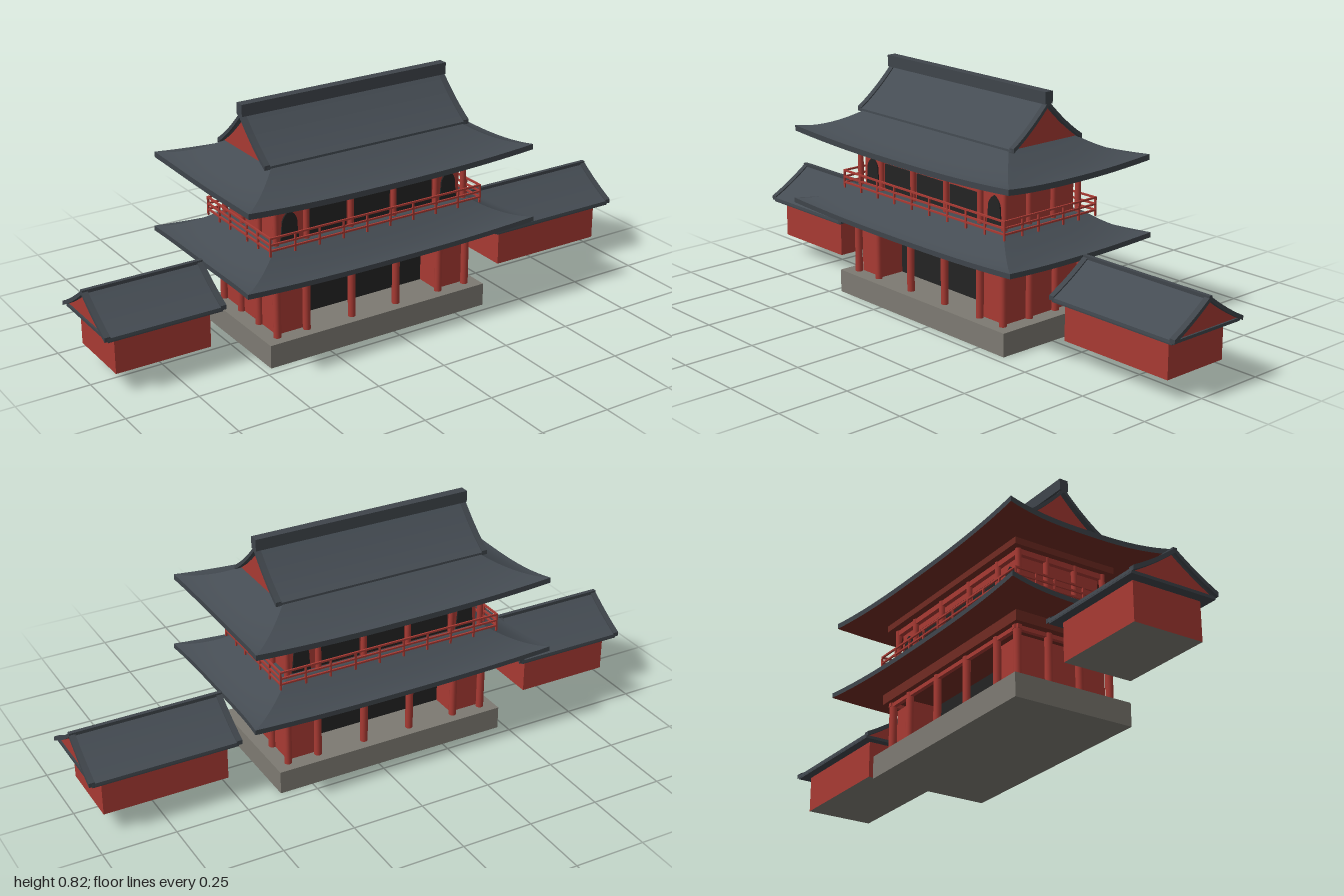
import * as THREE from 'three';

const mat = (name, color, side = THREE.FrontSide) => {
  const m = new THREE.MeshStandardMaterial({ color, side });
  m.name = name;
  return m;
};

export function createModel() {
  const root = new THREE.Group();
  root.name = 'templeGate';
  const red = mat('vermilion wood', 0xa83a33);
  const darkRed = mat('shaded timber', 0x702b22);
  const slate = mat('roof tile', 0x454c53);
  const trim = mat('roof trim', 0x3f454b);
  const stone = mat('stone', 0x7d7a72);
  const black = mat('dark opening', 0x232323);

  const hall = new THREE.Group();
  hall.name = 'hall';
  hall.position.x = -0.053;
  root.add(hall);

  const add = (parent, name, geo, material) => {
    const m = new THREE.Mesh(geo, material);
    m.name = name;
    parent.add(m);
    return m;
  };
  // Box given by its min and max on each axis
  const box = (parent, name, material, x0, x1, y0, y1, z0, z1) => {
    const m = add(parent, name, new THREE.BoxGeometry(x1 - x0, y1 - y0, z1 - z0), material);
    m.position.set((x0 + x1) / 2, (y0 + y1) / 2, (z0 + z1) / 2);
    return m;
  };
  // Box centred on the hall axis, by half sizes
  const slab = (name, material, hx, hz, y0, y1) => box(hall, name, material, -hx, hx, y0, y1, -hz, hz);
  const column = (name, x, z, y0, y1, r) => {
    const m = add(hall, name, new THREE.CylinderGeometry(r, r, y1 - y0, 14), red);
    m.position.set(x, (y0 + y1) / 2, z);
  };

  // Surface from a rule f(u, v) -> [x, y, z]
  const sheet = (f, nu, nv) => {
    const pos = [], idx = [];
    for (let j = 0; j <= nv; j++) for (let i = 0; i <= nu; i++) pos.push(...f(i / nu, j / nv));
    for (let j = 0; j < nv; j++) for (let i = 0; i < nu; i++) {
      const a = j * (nu + 1) + i, b = a + 1, c = a + nu + 1, d = c + 1;
      idx.push(a, b, d, a, d, c);
    }
    const g = new THREE.BufferGeometry();
    g.setAttribute('position', new THREE.Float32BufferAttribute(pos, 3));
    g.setIndex(idx);
    g.computeVertexNormals();
    return g;
  };

  // Concave hipped roof with flared, lifted corners; fascia and soffit below
  const hipRoof = (name, o) => {
    const g = new THREE.Group();
    g.name = name;
    hall.add(g);
    for (let k = 0; k < 4; k++) {
      const a = k % 2, b = 1 - a;
      const sgn = k < 2 ? 1 : -1;
      // a: axis along the eave (0 = x, 1 = z), b: axis pointing outward
      const place = (along, y, out) => (a === 0 ? [sgn * along, y, sgn * out] : [sgn * out, y, -sgn * along]);
      const surf = (u, t, drop = 0) => {
        const s = 2 * u - 1, f = (1 - t) ** 2;
        const h = (i) => o.eave[i] + (o.top[i] - o.eave[i]) * t;
        const y = o.y0 + (o.y1 - o.y0) * t ** 1.4 + o.lift * f * Math.abs(s) ** 2.5 - drop;
        return place(s * (h(a) + o.flare[a] * f), y, h(b) + o.flare[b] * f * Math.abs(s) ** 3);
      };
      add(g, 'roofSlope', sheet((u, v) => surf(u, v), 24, 10), slate);
      add(g, 'eaveFascia', sheet((u, v) => surf(u, 0, o.thick * (1 - v)), 24, 1), trim);
      add(g, 'soffit', sheet((u, v) => {
        const e = surf(u, 0, o.thick), i = place((2 * u - 1) * o.inner[a], o.y0 - o.thick, o.inner[b]);
        return e.map((c, n) => i[n] + (c - i[n]) * v);
      }, 24, 2), darkRed);
    }
  };

  // Slightly sagging gable profile, from z = -h to h
  const profile = (h, y0, y1, sag) => Array.from({ length: 17 }, (_, i) => {
    const s = i / 8 - 1, t = 1 - Math.abs(s);
    return new THREE.Vector2(s * h, y0 + (y1 - y0) * t - sag * 4 * t * (1 - t));
  });
  const along = (shape, x0, x1) =>
    new THREE.ExtrudeGeometry(shape, { depth: x1 - x0, bevelEnabled: false }).rotateY(Math.PI / 2).translate(x0, 0, 0);
  // Red gable body, tiled slopes and raised end boards
  const gableRoof = (parent, x0, x1, h, y0, y1, sag, thick, inset) => {
    const line = profile(h, y0, y1, sag);
    const band = (up, down) => new THREE.Shape([
      ...line.map((p) => new THREE.Vector2(p.x, p.y - down)),
      ...line.slice().reverse().map((p) => new THREE.Vector2(p.x, p.y + up)),
    ]);
    add(parent, 'gable', along(new THREE.Shape(line.map((p) => new THREE.Vector2(p.x * 0.97, p.y - 0.004))), x0 + inset, x1 - inset), red);
    add(parent, 'gableSlopes', along(band(0, thick), x0 + 0.01, x1 - 0.01), slate);
    for (const x of [x0, x1 - 0.02]) add(parent, 'bargeBoard', along(band(0.005, thick), x, x + 0.02), trim);
  };

  // Plinth and ground floor
  slab('plinth', stone, 0.42, 0.217, 0, 0.08);
  slab('doorCore', black, 0.26, 0.07, 0.08, 0.238);
  for (const s of [-1, 1]) {
    box(hall, 'endRoom', red, s > 0 ? 0.26 : -0.365, s > 0 ? 0.365 : -0.26, 0.08, 0.238, -0.16, 0.16);
    for (const x of [-0.37, -0.26, -0.087, 0.087, 0.26, 0.37]) column('lowerColumn', x, s * 0.174, 0.08, 0.267, 0.013);
    for (const z of [-0.058, 0.058]) column('lowerSideColumn', s * 0.37, z, 0.08, 0.267, 0.013);
    box(hall, 'lowerBeam', red, -0.385, 0.385, 0.249, 0.263, s * 0.174 - 0.007, s * 0.174 + 0.007);
    box(hall, 'lowerSideBeam', red, s * 0.37 - 0.007, s * 0.37 + 0.007, 0.249, 0.263, -0.188, 0.188);
  }
  slab('lowerBracketBand', darkRed, 0.4, 0.198, 0.264, 0.302);
  hipRoof('lowerRoof', { eave: [0.53, 0.305], top: [0.375, 0.178], flare: [0.02, 0.008], inner: [0.39, 0.19], y0: 0.316, y1: 0.395, lift: 0.018, thick: 0.017 });
  slab('lowerRoofCap', slate, 0.375, 0.178, 0.385, 0.395);

  // Upper floor
  slab('upperWalls', red, 0.352, 0.152, 0.39, 0.54);
  const arch = new THREE.Shape();
  arch.moveTo(-0.034, 0);
  arch.lineTo(0.034, 0);
  arch.quadraticCurveTo(0.028, 0.04, 0.028, 0.06);
  arch.quadraticCurveTo(0.026, 0.085, 0, 0.1);
  arch.quadraticCurveTo(-0.026, 0.085, -0.028, 0.06);
  arch.quadraticCurveTo(-0.028, 0.04, -0.034, 0);
  const archGeo = new THREE.ExtrudeGeometry(arch, { depth: 0.006, bevelEnabled: false, curveSegments: 8 });
  for (const s of [1, -1]) {
    const face = new THREE.Group();
    face.name = s > 0 ? 'upperFront' : 'upperBack';
    face.rotation.y = s > 0 ? 0 : Math.PI;
    hall.add(face);
    for (const x of [-0.167, 0, 0.167]) box(face, 'darkPanel', black, x - 0.072, x + 0.072, 0.4, 0.49, 0.15, 0.157);
    for (const x of [-0.307, 0.307]) add(face, 'archWindow', archGeo, black).position.set(x, 0.398, 0.151);
    box(face, 'upperBeam', red, -0.365, 0.365, 0.515, 0.537, 0.15, 0.168);
    for (const x of [-0.363, -0.25, -0.083, 0.083, 0.25, 0.363]) column('upperColumn', x, s * 0.163, 0.39, 0.54, 0.01);
    for (const z of [-0.054, 0.054]) column('upperSideColumn', s * 0.36, z, 0.39, 0.54, 0.01);
    box(hall, 'upperSideBeam', red, s * 0.36 - 0.008, s * 0.36 + 0.008, 0.515, 0.537, -0.165, 0.165);
  }

  // Balcony railing
  for (const s of [-1, 1]) {
    for (const y of [0.4, 0.42, 0.442]) {
      box(hall, 'rail', red, -0.408, 0.408, y - 0.003, y + 0.003, s * 0.202 - 0.003, s * 0.202 + 0.003);
      box(hall, 'sideRail', red, s * 0.405 - 0.003, s * 0.405 + 0.003, y - 0.003, y + 0.003, -0.205, 0.205);
    }
    for (let i = 0; i < 10; i++) {
      const x = -0.405 + i * 0.09;
      box(hall, 'railPost', red, x - 0.003, x + 0.003, 0.38, 0.445, s * 0.202 - 0.003, s * 0.202 + 0.003);
    }
    for (const z of [-0.125, -0.055, 0.055, 0.125])
      box(hall, 'sideRailPost', red, s * 0.405 - 0.003, s * 0.405 + 0.003, 0.38, 0.445, z - 0.003, z + 0.003);
  }

  // Upper roof: hipped skirt, gable and ridge
  slab('upperBracketBand', darkRed, 0.39, 0.192, 0.534, 0.558);
  hipRoof('upperRoof', { eave: [0.52, 0.302], top: [0.365, 0.148], flare: [0.018, 0.007], inner: [0.38, 0.185], y0: 0.575, y1: 0.652, lift: 0.02, thick: 0.019 });
  gableRoof(hall, -0.39, 0.39, 0.15, 0.658, 0.787, 0.008, 0.01, 0.02);
  slab('gableBase', red, 0.365, 0.143, 0.64, 0.66);
  slab('ridge', trim, 0.39, 0.016, 0.783, 0.823);

  // Side wings
  for (const [name, r0, r1, b0, b1] of [['leftWing', 0.48, 1, 0.52, 0.95], ['rightWing', -1, -0.58, -0.955, -0.623]]) {
    const wing = new THREE.Group();
    wing.name = name;
    wing.position.z = -0.024;
    root.add(wing);
    box(wing, 'wingWalls', [red, red, red, stone, red, red], b0, b1, 0.07, 0.205, -0.123, 0.123);
    box(wing, 'wingEavePlate', trim, r0 + 0.012, r1 - 0.012, 0.199, 0.209, -0.153, 0.153);
    gableRoof(wing, r0, r1, 0.154, 0.214, 0.312, 0.005, 0.01, 0.018);
    box(wing, 'wingGableBase', red, r0 + 0.018, r1 - 0.018, 0.207, 0.215, -0.146, 0.146);
    box(wing, 'wingRidge', trim, r0, r1, 0.306, 0.318, -0.007, 0.007);
  }
  return root;
}
